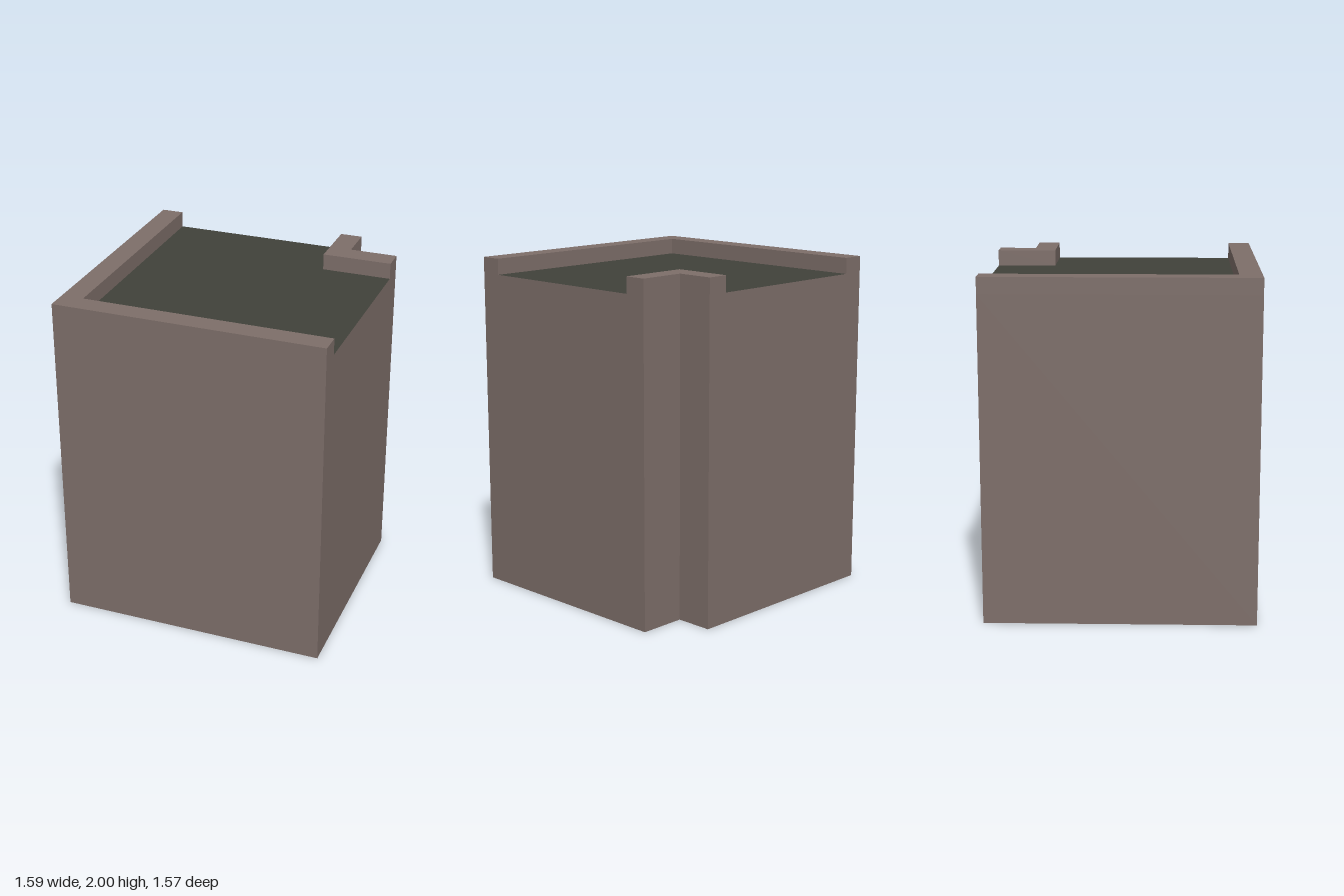
import * as THREE from 'three';

const wall = new THREE.MeshStandardMaterial({ color: 0x7d6e69 });
wall.name = 'wallBrown';
const roof = new THREE.MeshStandardMaterial({ color: 0x40413a });
roof.name = 'roofDarkGrey';

const X = 0.797, Z = 0.785;            // half width and half depth
const ROOF = 1.905, TOP = 2;           // roof level and parapet top
const NX = 0.516, NZ = -0.563;         // inner corner of the notch
const T = 0.13;                        // parapet thickness

// Upright prism over a plan outline of [x, z] points
function prism(name, plan, y0, y1, materials) {
  const shape = new THREE.Shape(plan.map(([x, z]) => new THREE.Vector2(x, -z)));
  const geometry = new THREE.ExtrudeGeometry(shape, { depth: y1 - y0, bevelEnabled: false });
  geometry.rotateX(-Math.PI / 2).translate(0, y0, 0);
  const mesh = new THREE.Mesh(geometry, materials);
  mesh.name = name;
  return mesh;
}

export function createModel() {
  const model = new THREE.Group();
  model.name = 'flatRoofBuilding';

  // Main block with a notched back corner: dark roof and base, brown walls
  model.add(prism('buildingBlock', [
    [-X, Z], [X, Z], [X, NZ], [NX, NZ], [NX, -Z], [-X, -Z],
  ], 0, ROOF, [roof, wall]));

  // Parapet along the front and right edges
  model.add(prism('frontParapet', [
    [-X, Z], [X, Z], [X, Z - T], [-X + T, Z - T], [-X + T, -Z], [-X, -Z],
  ], ROOF, TOP, wall));

  // Short parapet around the notch
  model.add(prism('notchParapet', [
    [X, NZ + T], [X, NZ], [NX, NZ], [NX, -Z], [NX - T, -Z], [NX - T, NZ + T],
  ], ROOF, TOP, wall));

  return model;
}
